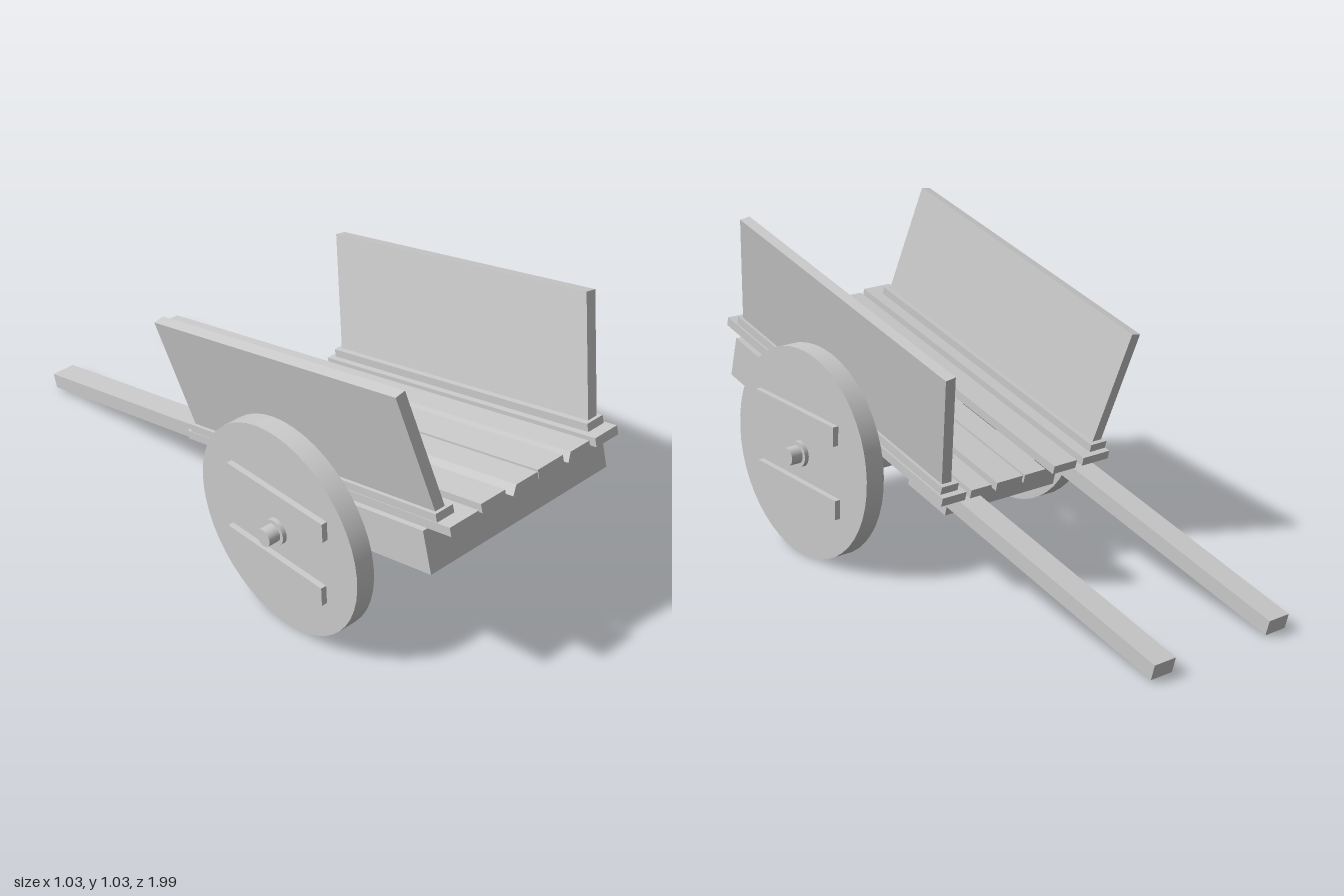
import * as THREE from 'three';

const material = new THREE.MeshStandardMaterial({ color: 0xcccccc, flatShading: true });
const smooth = new THREE.MeshStandardMaterial({ color: 0xcccccc });

// Box given by its limits on each axis
function box(parent, name, [x0, x1], [y0, y1], [z0, z1]) {
  const mesh = new THREE.Mesh(new THREE.BoxGeometry(x1 - x0, y1 - y0, z1 - z0), material);
  mesh.position.set((x0 + x1) / 2, (y0 + y1) / 2, (z0 + z1) / 2);
  mesh.name = name;
  parent.add(mesh);
  return mesh;
}

// Cylinder lying along x
function rod(parent, name, radius, x0, x1, sides) {
  const geometry = new THREE.CylinderGeometry(radius, radius, x1 - x0, sides).rotateZ(Math.PI / 2);
  const mesh = new THREE.Mesh(geometry, smooth);
  mesh.position.x = (x0 + x1) / 2;
  mesh.name = name;
  parent.add(mesh);
  return mesh;
}

export function createModel() {
  const cart = new THREE.Group();
  cart.name = 'cart';

  // Everything is set out from the axle; the body tips back onto its shafts
  const body = new THREE.Group();
  body.name = 'body';
  body.position.set(0, 0.35, 0.42);
  body.rotation.x = -THREE.MathUtils.degToRad(16);
  cart.add(body);

  // Floor planks: x limits, front end, bevel of the top -x corner
  const planks = [
    [-0.34, -0.228, 0.637, 0],
    [-0.2, -0.105, 0.617, 0],
    [-0.085, 0.018, 0.624, 0.018],
    [0.027, 0.13, 0.617, 0],
    [0.14, 0.233, 0.624, 0.015],
    [0.252, 0.345, 0.63, 0],
  ];
  planks.forEach(([x0, x1, front, bevel]) => {
    const plank = box(body, 'floorPlank', [x0, x1], [0.109, 0.138], [-0.555, front]);
    const p = plank.geometry.attributes.position;
    for (let i = 0; i < p.count; i++) {
      if (p.getX(i) < 0 && p.getY(i) > 0) p.setX(i, p.getX(i) + bevel);
    }
    plank.geometry.computeVertexNormals();
  });

  // Cross beams under the floor
  box(body, 'frontBeam', [-0.357, 0.366], [-0.031, 0.109], [0.2, 0.542]);
  box(body, 'axleBeam', [-0.28, 0.28], [-0.066, 0.109], [-0.097, 0.055]);
  box(body, 'rearBeam', [-0.217, 0.231], [-0.013, 0.109], [-0.461, -0.27]);

  for (const side of [-1, 1]) {
    // Pulling shaft
    const shaftX = side * 0.233;
    box(body, 'shaft', [shaftX - 0.041, shaftX + 0.041], [0.058, 0.109], [-1.435, 0.2]);

    // Ledge and outward-leaning side board
    const ledgeX = side * 0.305;
    box(body, 'ledge', [ledgeX - 0.033, ledgeX + 0.033], [0.138, 0.164], [-0.535, 0.585]);
    const hinge = new THREE.Group();
    hinge.name = 'sideBoard';
    hinge.position.set(side * 0.308, 0.16, 0);
    hinge.rotation.z = -side * THREE.MathUtils.degToRad(9.7);
    body.add(hinge);
    box(hinge, 'board', [-0.018, 0.018], [0, 0.386], [-0.52, 0.572]);
  }

  // Axle with its thinner pin
  const running = new THREE.Group();
  running.name = 'runningGear';
  running.position.set(0, 0.35, 0.418);
  cart.add(running);
  rod(running, 'axle', 0.042, -0.474, 0.474, 24);
  rod(running, 'axlePin', 0.029, -0.514, 0.514, 24);

  // Solid wheels with two battens on the outer face
  for (const side of [-1, 1]) {
    const wheel = new THREE.Group();
    wheel.name = 'wheel';
    running.add(wheel);
    const disc = rod(wheel, 'disc', 0.345, -0.0325, 0.0325, 48);
    disc.position.x = side * 0.427;
    for (const y of [0.122, -0.118]) {
      const batten = box(wheel, 'batten', [-0.012, 0.012], [-0.032, 0.032], [-0.21, 0.21]);
      batten.position.set(side * 0.467, y, 0.007);
      batten.rotation.x = -THREE.MathUtils.degToRad(3.6);
    }
  }

  return cart;
}
